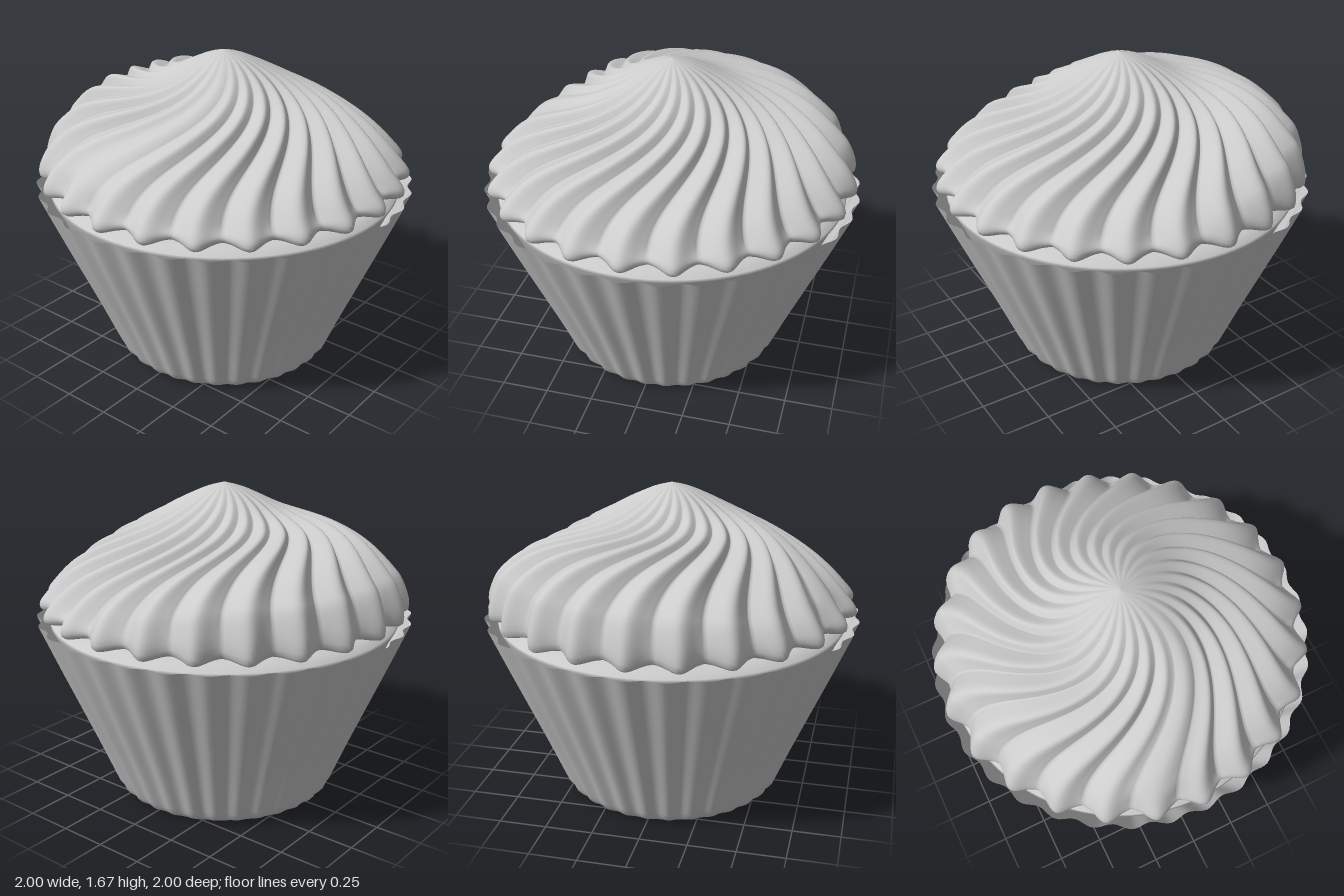
import * as THREE from 'three';

const { smoothstep, lerp } = THREE.MathUtils;
const LOBES = 24, PLEATS = 32;
const grey = new THREE.MeshStandardMaterial({ color: 0xcccccc });
const greyThin = new THREE.MeshStandardMaterial({ color: 0xcccccc, side: THREE.DoubleSide });

// Smooth points along a profile of [radius, height] pairs
function smoothProfile(points, count) {
  const curve = new THREE.CatmullRomCurve3(points.map(([r, y]) => new THREE.Vector3(r, y, 0)), false, 'centripetal');
  return curve.getSpacedPoints(count);
}

// Closed ring surface; rows run from top to bottom, place() returns [radius, height, angle]
function ringSurface(rows, segments, place) {
  const position = [], index = [];
  rows.forEach((p, i) => {
    for (let j = 0; j < segments; j++) {
      const [r, y, a] = place(p.x, p.y, (j / segments) * Math.PI * 2);
      position.push(r * Math.cos(a), y, r * Math.sin(a));
      if (i === rows.length - 1) continue;
      const k = (j + 1) % segments;
      const p0 = i * segments + j, p1 = i * segments + k;
      index.push(p0, p1, p0 + segments, p1, p1 + segments, p0 + segments);
    }
  });
  const geometry = new THREE.BufferGeometry();
  geometry.setAttribute('position', new THREE.Float32BufferAttribute(position, 3));
  geometry.setIndex(index);
  geometry.computeVertexNormals();
  return geometry;
}

// Swirled icing: grooves twist outward from the peak, with one fuller side
function icingGeometry() {
  const rows = smoothProfile([
    [0.001, 1.675], [0.1, 1.645], [0.2, 1.6], [0.4, 1.495], [0.6, 1.385], [0.8, 1.25],
    [0.92, 1.135], [0.98, 1.055], [0.975, 1.022], [0.9, 1.008], [0.78, 1.005],
  ], 76);
  return ringSurface(rows, LOBES * 16, (r, y, a) => {
    const phase = LOBES * a;
    const upper = smoothstep(y, 1.02, 1.14);
    // Fat rounded ridges with narrow grooves, opening into knobs at the rim
    const ridge = 0.5 + 0.5 * Math.cos(phase + 0.5 * Math.sin(phase));
    const lobe = Math.pow(ridge, lerp(0.6, 0.4, upper));
    const smoothPatch = 1 - 0.7 * Math.exp(-(((a - 1.05) / 0.25) ** 2)) * smoothstep(y, 1.05, 1.2);
    const groove = (1 - lobe) * smoothstep(r, 0, 0.6) * smoothPatch;
    const side = smoothstep(a, 0.9, 2.4) * (1 - smoothstep(a, 3.1, 4.4));
    const bulge = 0.125 * side * smoothstep(r, 0.25, 0.8) * upper;
    const twist = 0.9 * smoothstep(r, 0.1, 0.95) - 0.115;
    return [r - 0.07 * groove * r, y + bulge + groove * lerp(0.018, -0.025, upper), a + twist];
  });
}

// Pleated paper cup with a rounded lower edge
function wrapperGeometry() {
  const rows = smoothProfile([
    [1, 0.985], [0.9, 0.745], [0.8, 0.51], [0.7, 0.275], [0.62, 0.08],
    [0.6, 0.035], [0.57, 0.008], [0.525, 0],
  ], 36);
  return ringSurface(rows, PLEATS * 10, (r, y, a) => {
    const depth = lerp(0.018, 0.026, y) * smoothstep(y, 0, 0.03);
    return [r - depth * (0.5 - 0.5 * Math.cos(PLEATS * a)), y, a];
  });
}

export function createModel() {
  const model = new THREE.Group();
  const add = (name, geometry, material) => {
    const mesh = new THREE.Mesh(geometry, material);
    mesh.name = name;
    model.add(mesh);
    return mesh;
  };

  add('icing', icingGeometry(), grey);
  add('wrapper', wrapperGeometry(), greyThin);

  // Flat base of the paper cup
  const base = add('wrapperBase', new THREE.CircleGeometry(0.525, 96), greyThin);
  base.rotation.x = Math.PI / 2;

  // Sponge filling the cup, its top just showing under the icing
  const sponge = [[0, 0.04], [0.53, 0.04], [0.9, 0.9], [0.93, 0.955], [0.925, 0.97], [0.88, 1.0], [0.8, 1.012], [0, 1.014]];
  add('sponge', new THREE.LatheGeometry(sponge.map(([r, y]) => new THREE.Vector2(r, y)), 96), grey);

  return model;
}
